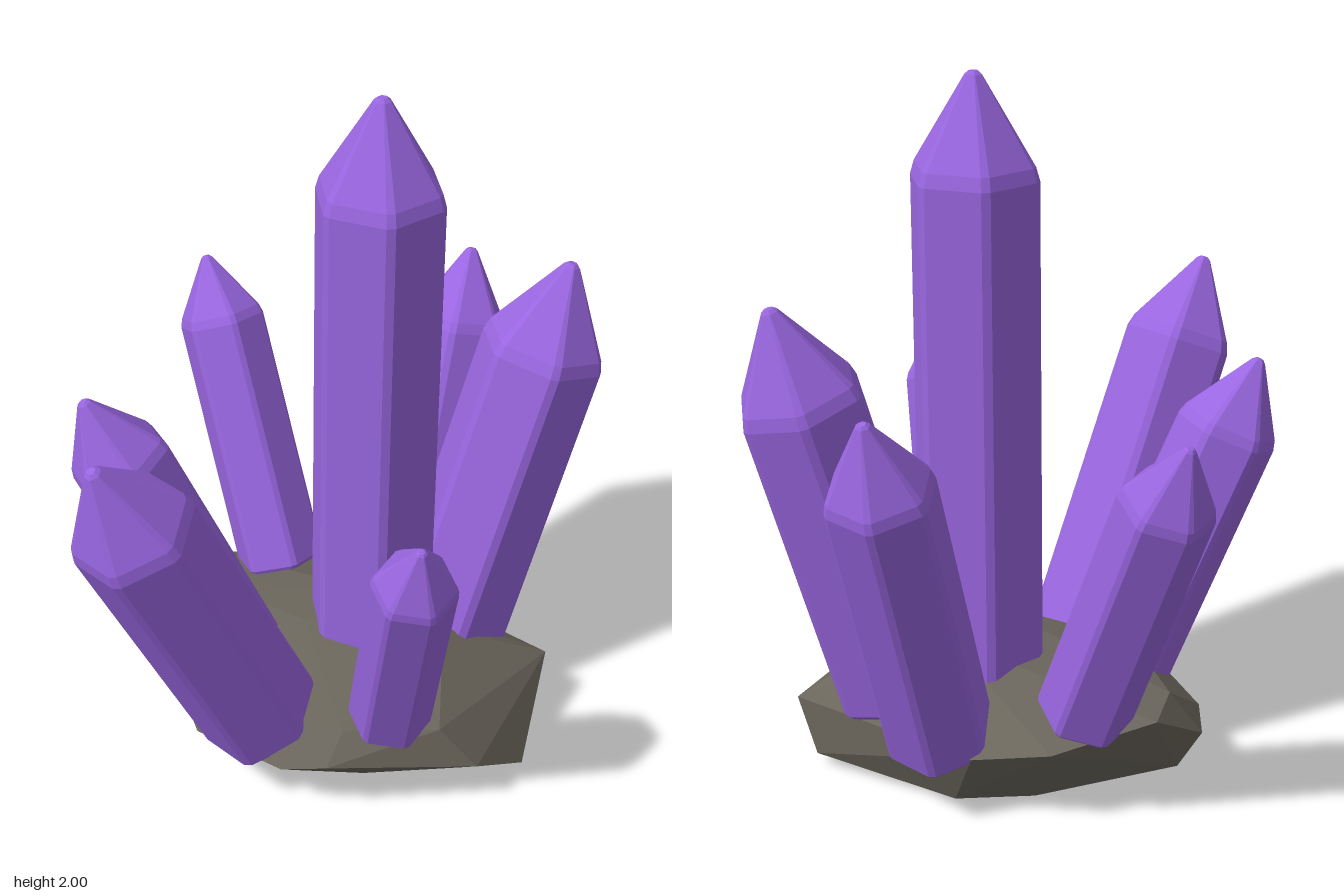
import * as THREE from 'three';
import { ConvexGeometry } from 'three/addons/geometries/ConvexGeometry.js';

const rad = THREE.MathUtils.degToRad;
const crystalMaterial = new THREE.MeshStandardMaterial({ color: 0x9966e0, flatShading: true });
const rockMaterial = new THREE.MeshStandardMaterial({ color: 0x6b665c, flatShading: true });

// Six-sided prism with narrow chamfered edges and a blunt pointed tip, base at the origin, along +y
function crystalGeometry(radius, length, phase) {
  const shoulder = length - radius * 1.42;
  const profile = [
    [0, 0], [radius * 0.94, 0], [radius, radius * 0.08],
    [radius * 0.97, shoulder - radius * 0.1], [radius * 0.91, shoulder + radius * 0.1],
    [radius * 0.13, length - radius * 0.05], [radius * 0.07, length], [0, length],
  ].map(([x, y]) => new THREE.Vector2(x, y));
  const geometry = new THREE.LatheGeometry(profile, 12);
  // Pull the twelve columns together in pairs, one pair at each hexagon corner
  const position = geometry.attributes.position;
  const rows = profile.length;
  for (let i = 0; i < position.count; i++) {
    const column = Math.floor(i / rows);
    const r = profile[i % rows].x;
    const corner = Math.floor(column / 2) * 60 + (column % 2 ? 4 : -4);
    const angle = rad(phase - corner);
    position.setXYZ(i, r * Math.cos(angle), position.getY(i), r * Math.sin(angle));
  }
  geometry.computeVertexNormals();
  return geometry;
}

function addCrystal(group, { name, base, tip, radius, phase }) {
  const start = new THREE.Vector3(...base);
  const axis = new THREE.Vector3(...tip).sub(start);
  const mesh = new THREE.Mesh(crystalGeometry(radius, axis.length(), phase), crystalMaterial);
  mesh.name = name;
  mesh.position.copy(start);
  mesh.quaternion.setFromUnitVectors(new THREE.Vector3(0, 1, 0), axis.normalize());
  group.add(mesh);
}

export function createModel() {
  const model = new THREE.Group();
  model.name = 'crystalCluster';

  // Faceted boulder
  const rockPoints = [
    // underside
    [0.35, 0, -0.3], [0.3, 0.01, 0.15], [0.02, 0.01, 0.15], [-0.15, 0.03, -0.3],
    [0.05, 0.01, -0.4], [-0.44, 0.06, 0], [0.5, 0.04, -0.44], [0.1, 0.07, 0.3],
    // widest rim
    [0.67, 0.035, -0.13], [0.63, 0.155, 0.07], [0.57, 0.2, -0.43], [-0.05, 0.2, -0.47],
    [-0.26, 0.24, -0.4], [-0.5, 0.17, 0.03], [-0.42, 0.17, 0.17], [-0.1, 0.17, 0.42],
    [0.19, 0.17, 0.41], [0.31, 0.2, 0.36],
    // upper faces
    [-0.46, 0.29, -0.17], [-0.42, 0.3, -0.02], [-0.05, 0.28, 0.34], [0.31, 0.28, 0.28],
    [0.53, 0.28, 0.12], [0.36, 0.37, -0.17], [0.2, 0.385, -0.2], [0, 0.36, 0.02],
  ].map((p) => new THREE.Vector3(...p));
  const rock = new THREE.Mesh(new ConvexGeometry(rockPoints), rockMaterial);
  rock.name = 'rockBase';
  model.add(rock);

  // Tall centre crystal and the six leaning outwards around it
  const crystals = new THREE.Group();
  crystals.name = 'crystals';
  [
    { name: 'centreCrystal', base: [0.13, 0.3, -0.135], tip: [0.13, 2, -0.135], radius: 0.183, phase: -12 },
    { name: 'backCrystal', base: [0.085, 0.2, -0.41], tip: [0.045, 1.26, -0.78], radius: 0.152, phase: 7 },
    { name: 'backLeftCrystal', base: [0.28, 0.27, -0.33], tip: [0.47, 1.43, -0.59], radius: 0.182, phase: 50 },
    { name: 'backRightCrystal', base: [-0.27, 0.3, -0.24], tip: [-0.64, 1.2, -0.38], radius: 0.132, phase: 33 },
    { name: 'frontRightCrystal', base: [-0.18, 0.27, 0.135], tip: [-0.46, 1.165, 0.405], radius: 0.15, phase: 30 },
    { name: 'frontCrystal', base: [0.035, 0.21, 0.285], tip: [-0.09, 1.31, 0.795], radius: 0.175, phase: 10 },
    { name: 'frontLeftCrystal', base: [0.385, 0.29, 0.155], tip: [0.605, 1.11, 0.385], radius: 0.117, phase: 32 },
  ].forEach((crystal) => addCrystal(crystals, crystal));
  model.add(crystals);

  return model;
}
